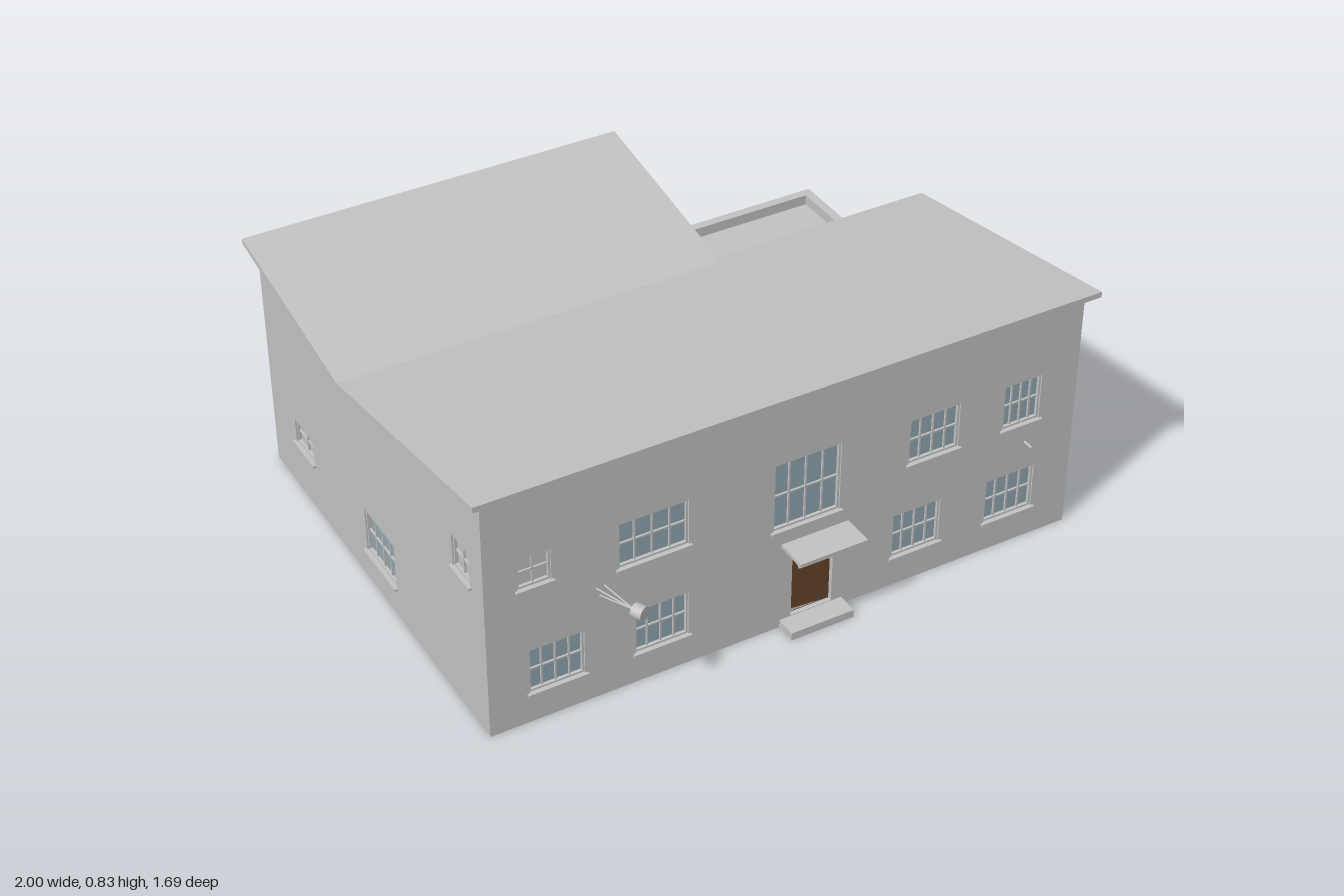
import * as THREE from 'three';

const mat = (name, color, side = THREE.FrontSide) => {
  const m = new THREE.MeshStandardMaterial({ color, side });
  m.name = name;
  return m;
};

export function createModel() {
  const plaster = mat('plasterGrey', 0xc2c2c2);
  const glass = mat('glassBlue', 0x92a6b0);
  const wood = mat('doorBrown', 0x66442b);
  const pale = mat('paleGrey', 0xd0d0d0);
  const house = new THREE.Group();
  house.name = 'house';
  const T = 0.03; // wall thickness

  // Box given by its low and high corners
  function box(parent, name, material, x0, x1, y0, y1, z0, z1) {
    const m = new THREE.Mesh(new THREE.BoxGeometry(x1 - x0, y1 - y0, z1 - z0), material);
    m.position.set((x0 + x1) / 2, (y0 + y1) / 2, (z0 + z1) / 2);
    m.name = name;
    parent.add(m);
    return m;
  }

  // Thin round bar between two points
  function rod(parent, name, a, b, r, material = plaster) {
    const A = new THREE.Vector3(...a), B = new THREE.Vector3(...b);
    const d = B.clone().sub(A);
    const m = new THREE.Mesh(new THREE.CylinderGeometry(r, r, d.length(), 10), material);
    m.position.copy(A).add(B).multiplyScalar(0.5);
    m.quaternion.setFromUnitVectors(new THREE.Vector3(0, 1, 0), d.normalize());
    m.name = name;
    parent.add(m);
    return m;
  }

  // Fill an opening with pane, frame, glazing bars and sill
  function fill(wall, [x0, x1, y0, y1, cols, rows, kind = 'window']) {
    const g = new THREE.Group();
    g.name = kind;
    const pane = kind === 'frontDoor' ? wood : kind === 'blankWindow' ? plaster : glass;
    box(g, 'pane', pane, x0, x1, y0, y1, -0.022, -0.015);
    if (kind !== 'frontDoor') {
      const f = 0.006, b = 0.0025;
      for (const x of [x0, x1 - f]) box(g, 'frameSide', plaster, x, x + f, y0, y1, -0.016, -0.005);
      for (const y of [y0, y1 - f]) box(g, 'frameRail', plaster, x0, x1, y, y + f, -0.016, -0.005);
      for (let i = 1; i < cols; i++) {
        const x = x0 + (x1 - x0) * i / cols;
        box(g, 'verticalBar', plaster, x - b, x + b, y0, y1, -0.016, -0.009);
      }
      for (let j = 1; j < rows; j++) {
        const y = y0 + (y1 - y0) * j / rows;
        box(g, 'crossBar', plaster, x0, x1, y - b, y + b, -0.016, -0.009);
      }
    }
    if (kind === 'window' || kind === 'blankWindow')
      box(g, 'sill', plaster, x0 - 0.008, x1 + 0.008, y0 - 0.008, y0, -0.015, 0.01);
    wall.add(g);
  }

  // Wall panel: outline and openings as seen from outside, outer face at local z = 0
  function wall(name, outline, openings, angle, x, z) {
    const shape = new THREE.Shape(outline.map(p => new THREE.Vector2(...p)));
    for (const [x0, x1, y0, y1] of openings) {
      shape.holes.push(new THREE.Path([[x0, y0], [x0, y1], [x1, y1], [x1, y0]].map(p => new THREE.Vector2(...p))));
    }
    const geo = new THREE.ExtrudeGeometry(shape, { depth: T, bevelEnabled: false });
    geo.translate(0, 0, -T);
    const g = new THREE.Group();
    g.name = name;
    const m = new THREE.Mesh(geo, plaster);
    m.name = name + 'Panel';
    g.add(m);
    openings.forEach(o => fill(g, o));
    g.rotation.y = angle;
    g.position.set(x, 0, z);
    house.add(g);
  }

  // Front wall
  wall('frontWall', [[-0.968, 0], [0.965, 0], [0.965, 0.812], [-0.968, 0.812]], [
    [-0.56, -0.34, 0.43, 0.583, 4, 2], [-0.067, 0.152, 0.36, 0.593, 4, 2],
    [0.382, 0.553, 0.43, 0.583, 4, 2], [0.708, 0.837, 0.43, 0.583, 4, 2],
    [-0.842, -0.67, 0.105, 0.257, 4, 2], [-0.51, -0.34, 0.105, 0.257, 4, 2],
    [0.34, 0.505, 0.105, 0.257, 4, 2], [0.666, 0.837, 0.105, 0.257, 4, 2],
    [-0.867, -0.765, 0.48, 0.583, 2, 2, 'blankWindow'], [0, 0.137, 0.028, 0.26, 1, 1, 'frontDoor'],
  ], 0, 0, 0.69);

  // Left-hand block of the model's +x side, stepping down to the terrace parapet
  wall('terraceSideWall', [[-0.69, 0], [0.775, 0], [0.775, 0.385], [0.145, 0.385], [0.145, 0.667], [-0.69, 0.812]], [
    [-0.52, -0.335, 0.43, 0.587, 4, 2], [-0.57, -0.38, 0.1, 0.257, 4, 2], [0.183, 0.463, 0.135, 0.257, 6, 2],
  ], Math.PI / 2, 0.965, 0);

  // Back wall (local x is mirrored)
  wall('backWall', [[-0.965, 0], [0.968, 0], [0.968, 0.774], [-0.22, 0.774], [-0.22, 0.385], [-0.965, 0.385]], [
    [0.62, 0.81, 0.43, 0.587, 4, 2], [0.335, 0.475, 0.43, 0.587, 3, 2], [0.0, 0.145, 0.485, 0.587, 2, 2, 'blankWindow'],
    [0.0, 0.14, 0.028, 0.262, 3, 4, 'gardenDoor'], [0.335, 0.475, 0.105, 0.257, 3, 2],
    [0.705, 0.85, 0.175, 0.257, 2, 2, 'blankWindow'],
    [-0.8, -0.615, 0.135, 0.257, 4, 2], [-0.51, -0.33, 0.135, 0.257, 4, 2],
  ], Math.PI, 0, -0.775);

  // Far side wall with the valley roof line
  wall('plainSideWall', [[-0.775, 0], [0.69, 0], [0.69, 0.812], [-0.15, 0.666], [-0.775, 0.774]], [
    [0.505, 0.61, 0.48, 0.587, 2, 2, 'blankWindow'], [-0.1, 0.1, 0.105, 0.257, 4, 2],
    [-0.6, -0.465, 0.175, 0.257, 2, 2, 'blankWindow'],
  ], -Math.PI / 2, -0.968, 0);

  // Upper walls facing the terrace
  wall('terraceInnerSideWall', [[0.12, 0.33], [0.775, 0.33], [0.775, 0.774], [0.15, 0.666], [0.12, 0.666]], [
    [0.28, 0.463, 0.45, 0.587, 4, 2], [0.62, 0.713, 0.475, 0.59, 2, 2, 'blankWindow'],
  ], Math.PI / 2, 0.22, 0);
  wall('terraceInnerBackWall', [[-0.965, 0.33], [-0.2, 0.33], [-0.2, 0.667], [-0.965, 0.667]], [
    [-0.7, -0.45, 0.43, 0.587, 4, 2],
  ], Math.PI, 0, -0.145);

  // Floor set up inside the walls, and the terrace deck
  box(house, 'groundFloor', plaster, -0.95, 0.95, 0.03, 0.045, -0.76, 0.675);
  box(house, 'terraceDeck', plaster, 0.2, 0.95, 0.33, 0.35, -0.76, -0.13);

  // Two roof slabs meeting in a valley: [z, y] ends of the top edge
  function roof(name, [z0, y0], [z1, y1], x0, x1) {
    const t = 0.018;
    const s = new THREE.Shape([[-z0, y0 - t], [-z1, y1 - t], [-z1, y1], [-z0, y0]].map(p => new THREE.Vector2(...p)));
    const geo = new THREE.ExtrudeGeometry(s, { depth: x1 - x0, bevelEnabled: false });
    const m = new THREE.Mesh(geo, plaster);
    m.rotation.y = Math.PI / 2;
    m.position.x = x0;
    m.name = name;
    house.add(m);
  }
  roof('frontRoof', [0.72, 0.834], [-0.185, 0.677], -1, 1);
  roof('backRoof', [-0.15, 0.683], [-0.81, 0.797], -1, 0.255);

  // Skylights on the terrace
  for (const x of [0.39, 0.738]) {
    const g = new THREE.Group();
    g.name = 'skylight';
    box(g, 'skylightCurb', plaster, x, x + 0.16, 0.35, 0.378, -0.555, -0.39);
    box(g, 'skylightGlass', glass, x + 0.006, x + 0.154, 0.377, 0.381, -0.549, -0.396);
    house.add(g);
  }

  // Entrance canopy, steps and door lights
  box(house, 'doorCanopy', plaster, -0.038, 0.185, 0.292, 0.305, 0.68, 0.793);
  box(house, 'frontStep', plaster, -0.038, 0.172, 0, 0.026, 0.68, 0.758);
  box(house, 'backStep', plaster, -0.178, 0.03, 0, 0.026, -0.845, -0.77);
  for (let i = 0; i < 3; i++) {
    const x = 0.038 + i * 0.025, y = 0.19 + i * 0.014;
    box(house, 'doorLight', pale, x - 0.009, x + 0.009, y - 0.009, y + 0.009, 0.674, 0.678);
  }

  // Wall lamp on three struts
  const lamp = new THREE.Group();
  lamp.name = 'wallLamp';
  rod(lamp, 'lampHead', [-0.577, 0.38, 0.807], [-0.562, 0.38, 0.838], 0.023);
  for (const [x, y] of [[-0.63, 0.39], [-0.605, 0.392], [-0.62, 0.362]])
    rod(lamp, 'lampStrut', [x, y, 0.688], [-0.577, 0.38, 0.81], 0.0025);
  house.add(lamp);

  // Small wall fittings: a peg on the front and a bracket handle on the side
  rod(house, 'wallPeg', [0.795, 0.357, 0.688], [0.795, 0.357, 0.725], 0.004);
  const bracket = [[0.96, 0.068, 0.313], [0.985, 0.068, 0.335], [0.985, 0.032, 0.335], [0.96, 0.032, 0.313]];
  for (let i = 0; i < 3; i++) rod(house, 'sideBracket', bracket[i], bracket[i + 1], 0.003);

  return house;
}
